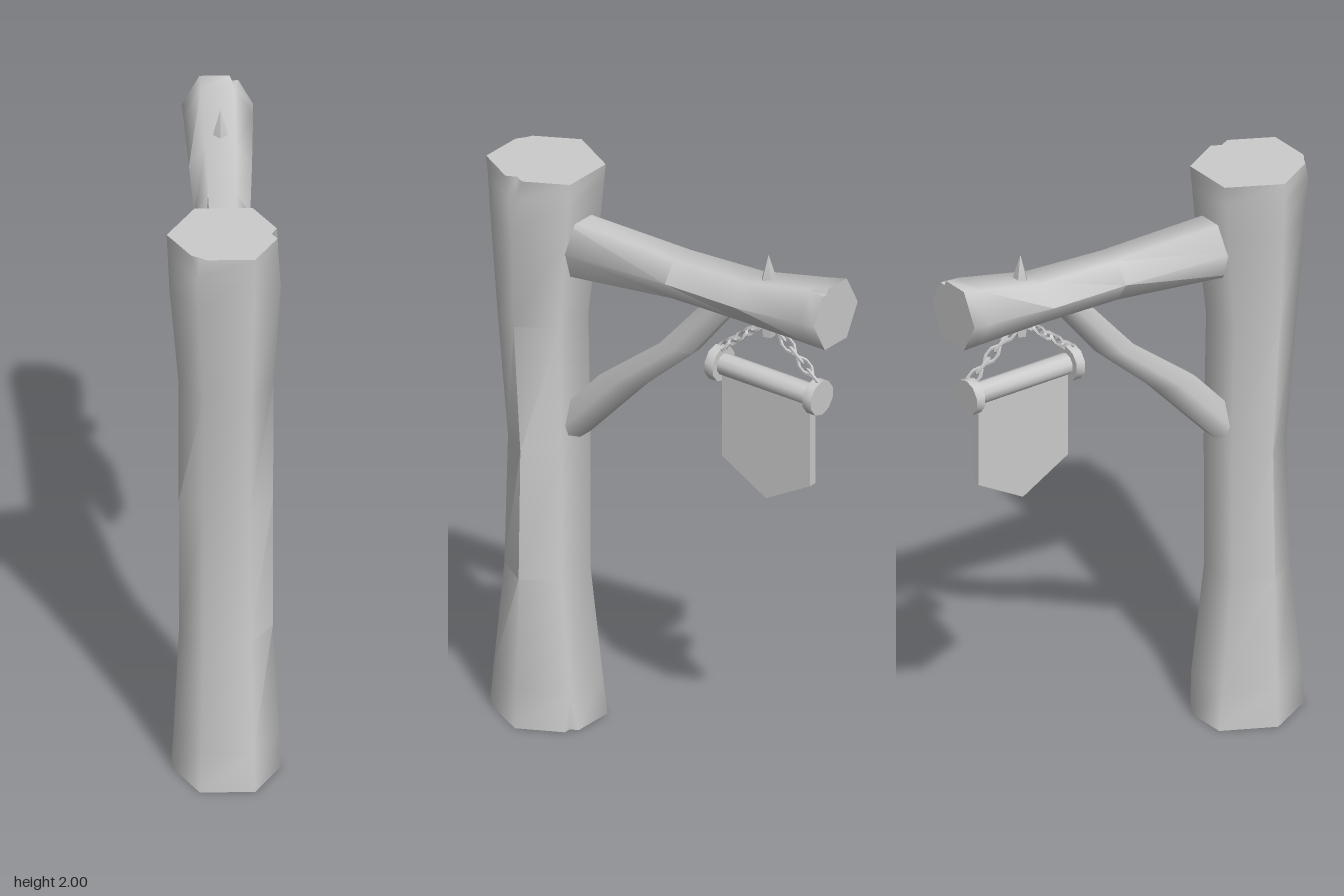
import * as THREE from 'three';
import { toCreasedNormals } from 'three/addons/utils/BufferGeometryUtils.js';

const material = new THREE.MeshStandardMaterial({ color: 0xcccccc });

function part(name, geometry, parent, smooth = 1.15) {
  const mesh = new THREE.Mesh(toCreasedNormals(geometry, smooth), material);
  mesh.name = name;
  parent.add(mesh);
  return mesh;
}

// Six-sided log along y. Rings: [y, centreX, centreZ, halfWidthX, halfDepthZ].
// Notches split one corner: { corner, tip, end, width, depth }, opening from tip to end.
const HEX = [[1, 0], [0.5, 1], [-0.5, 1], [-1, 0], [-0.5, -1], [0.5, -1]];

function logGeometry(rings, notches = []) {
  const loops = rings.map(([y, cx, cz, rx, rz]) => {
    const loop = [];
    const place = (u, v) => loop.push(new THREE.Vector3(cx + u * rx, y, cz + v * rz));
    HEX.forEach(([u, v], k) => {
      const n = notches.find((m) => m.corner === k);
      const open = n ? THREE.MathUtils.clamp((y - n.tip) / (n.end - n.tip), 0, 1) : 0;
      const w = n ? n.width * open : 0;
      const d = n ? n.depth * open : 0;
      const [pu, pv] = HEX[(k + 5) % 6];
      const [nu, nv] = HEX[(k + 1) % 6];
      place(u + (pu - u) * w, v + (pv - v) * w);
      place(u * (1 - d), v * (1 - d));
      place(u + (nu - u) * w, v + (nv - v) * w);
    });
    return loop;
  });

  const pos = [];
  const tri = (a, b, c) => {
    const area = b.clone().sub(a).cross(c.clone().sub(a)).length();
    if (area > 1e-8) for (const p of [a, b, c]) pos.push(p.x, p.y, p.z);
  };
  const count = HEX.length * 3;
  const centre = ([y, cx, cz]) => new THREE.Vector3(cx, y, cz);
  const last = loops.length - 1;
  for (let k = 0; k < count; k++) {
    const j = (k + 1) % count;
    for (let i = 0; i < last; i++) {
      tri(loops[i][k], loops[i + 1][k], loops[i][j]);
      tri(loops[i][j], loops[i + 1][k], loops[i + 1][j]);
    }
    tri(centre(rings[0]), loops[0][k], loops[0][j]);
    tri(centre(rings[last]), loops[last][j], loops[last][k]);
  }
  const geometry = new THREE.BufferGeometry();
  geometry.setAttribute('position', new THREE.Float32BufferAttribute(pos, 3));
  return geometry;
}

export function createModel() {
  const model = new THREE.Group();
  model.name = 'hangingSignPost';

  // Upright trunk with splits at the top and base
  part('post', logGeometry([
    [0, 0.005, 0.502, 0.18, 0.173],
    [0.14, 0.005, 0.504, 0.172, 0.159],
    [0.53, 0.004, 0.508, 0.153, 0.118],
    [1.0, 0.004, 0.5, 0.154, 0.111],
    [1.45, 0.004, 0.527, 0.155, 0.128],
    [1.8, 0.001, 0.519, 0.182, 0.157],
    [1.93, 0, 0.517, 0.187, 0.167],
    [2.0, 0, 0.517, 0.19, 0.173],
  ], [
    { corner: 0, tip: 1.8, end: 2, width: 0.2, depth: 0.19 },
    { corner: 2, tip: 1.93, end: 2, width: 0.18, depth: 0.1 },
    { corner: 5, tip: 0.14, end: 0, width: 0.15, depth: 0.15 },
  ]), model);

  // Beam running to the back, split at its far end
  const beam = logGeometry([
    [-0.45, 0.005, 1.73, 0.085, 0.104],
    [0.05, 0.005, 1.76, 0.092, 0.071],
    [0.35, 0.007, 1.772, 0.103, 0.073],
    [0.62, 0.006, 1.803, 0.114, 0.1],
    [0.685, 0.005, 1.811, 0.117, 0.108],
  ], [{ corner: 1, tip: 0.62, end: 0.685, width: 0.16, depth: 0.18 }]);
  part('beam', beam.rotateX(-Math.PI / 2), model);

  // Crooked brace under the beam
  part('brace', logGeometry([
    [1.05, 0, 0.43, 0.06, 0.077],
    [1.3, 0, 0.195, 0.058, 0.08],
    [1.49, 0, -0.035, 0.046, 0.065],
    [1.76, 0, -0.265, 0.042, 0.055],
  ]), model);

  // Nail through the beam, holding the chains
  const sign = new THREE.Group();
  sign.name = 'hangingSign';
  sign.position.set(0.008, 0, -0.41);
  model.add(sign);
  const nailProfile = [[0, 1.65], [0.022, 1.65], [0.031, 1.72], [0.031, 1.84], [0, 1.945]];
  part('nail', new THREE.LatheGeometry(
    nailProfile.map(([r, y]) => new THREE.Vector2(r, y)), 5), sign, 0.5);

  // Two chains of alternately turned links
  const links = 5;
  for (const side of [-1, 1]) {
    const chain = new THREE.Group();
    chain.name = side > 0 ? 'frontChain' : 'backChain';
    const start = new THREE.Vector3(0, 1.685, side * 0.025);
    const end = new THREE.Vector3(0, 1.54, side * 0.205);
    const along = end.clone().sub(start).normalize();
    const aim = new THREE.Quaternion().setFromUnitVectors(new THREE.Vector3(0, 1, 0), along);
    for (let i = 0; i < links; i++) {
      const ring = new THREE.TorusGeometry(0.02, 0.006, 4, 8);
      ring.rotateZ(Math.PI / 8).scale(0.85, 1.6, 1);
      ring.rotateY(i % 2 ? Math.PI / 4 : -Math.PI / 4);
      const link = part('chainLink', ring, chain, 0.6);
      link.quaternion.copy(aim);
      link.position.lerpVectors(start, end, (i + 0.5) / links);
    }
    sign.add(chain);
  }

  // Rod with a disc at each end
  const rod = (name, radius, length, z) => {
    const geometry = new THREE.CylinderGeometry(radius, radius, length, 10);
    part(name, geometry.rotateX(Math.PI / 2).translate(0, 1.488, z), sign);
  };
  rod('rod', 0.037, 0.4, 0);
  for (const side of [-1, 1]) rod('rodEnd', 0.061, 0.034, side * 0.203);

  // Pointed banner board
  const outline = [[-0.182, 1.49], [-0.182, 1.16], [0, 1.06], [0.182, 1.16], [0.182, 1.49]];
  const shape = new THREE.Shape(outline.map(([x, y]) => new THREE.Vector2(x, y)));
  const banner = new THREE.ExtrudeGeometry(shape, { depth: 0.03, bevelEnabled: false });
  part('banner', banner.translate(0, 0, -0.015).rotateY(-Math.PI / 2), sign, 0.3);

  return model;
}
